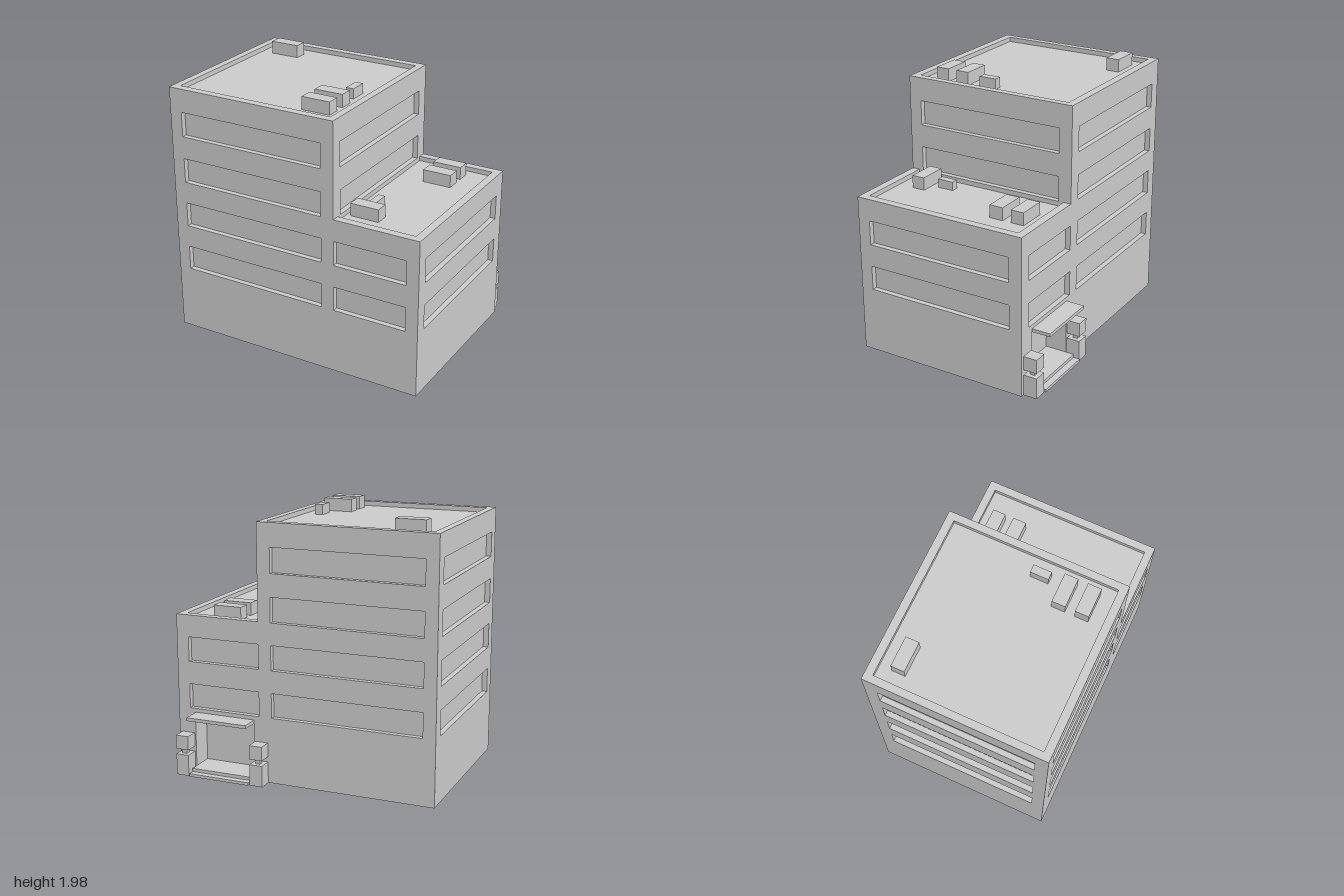
import * as THREE from 'three';

const material = new THREE.MeshStandardMaterial({ color: 0xcccccc, side: THREE.DoubleSide, flatShading: true });

// Main dimensions
const FRONT = 0.745, BACK = -0.605, SPLIT = 0.34, TOWER = 1.915, WING = 1.2;
const BAND = 0.04, PARAPET = 0.035;
const floors = [[0.495, 0.68], [0.85, 1.035], [1.2, 1.385], [1.555, 1.74]];

const rect = (u0, u1, v0, v1) => [[u0, v0], [u1, v0], [u1, v1], [u0, v1]];
const toPoints = (list) => list.map(([u, v]) => new THREE.Vector2(u, v));

function addMesh(parent, name, geometry) {
  const mesh = new THREE.Mesh(geometry, material);
  mesh.name = name;
  parent.add(mesh);
  return mesh;
}

// Solid block given by its extents
function block(parent, name, x0, x1, y0, y1, z0, z1) {
  const mesh = addMesh(parent, name, new THREE.BoxGeometry(x1 - x0, y1 - y0, z1 - z0));
  mesh.position.set((x0 + x1) / 2, (y0 + y1) / 2, (z0 + z1) / 2);
  return mesh;
}

// Five-sided lining sunk behind a panel, open towards local +z
function recess(parent, name, [u0, u1, v0, v1, depth]) {
  const geometry = new THREE.BoxGeometry(u1 - u0, v1 - v0, depth);
  const index = Array.from(geometry.index.array);
  index.splice(24, 6);
  for (let i = 0; i < index.length; i += 3) [index[i], index[i + 1]] = [index[i + 1], index[i]];
  geometry.setIndex(index);
  geometry.clearGroups();
  const n = geometry.attributes.normal;
  for (let i = 0; i < n.count; i++) n.setXYZ(i, -n.getX(i), -n.getY(i), -n.getZ(i));
  addMesh(parent, name, geometry).position.set((u0 + u1) / 2, (v0 + v1) / 2, -depth / 2);
}

// Flat panel facing local +z, with sunken openings
function panel(parent, name, outline, openings, recessName) {
  const group = new THREE.Group();
  group.name = name;
  const shape = new THREE.Shape(toPoints(outline));
  for (const [u0, u1, v0, v1] of openings) {
    shape.holes.push(new THREE.Path(toPoints(rect(u0, u1, v0, v1).reverse())));
  }
  addMesh(group, name + 'Surface', new THREE.ShapeGeometry(shape));
  openings.forEach((o) => recess(group, recessName, o));
  parent.add(group);
  return group;
}

export function createModel() {
  const model = new THREE.Group();
  model.name = 'officeBuilding';

  // Front and back walls: stepped outline with window bands
  const stepped = [[-1, 0], [1, 0], [1, WING], [SPLIT, WING], [SPLIT, TOWER], [-1, TOWER]];
  const bands = [
    ...floors.map(([a, b]) => [-0.905, 0.24, a, b, BAND]),
    ...floors.slice(0, 2).map(([a, b]) => [SPLIT, 0.905, a, b, BAND]),
  ];
  panel(model, 'frontWall', stepped, bands, 'windowBand').position.z = FRONT;

  const doorway = [0.38, 0.865, 0.045, 0.44, 0.165];
  const mirror = ([u0, u1, ...rest]) => [-u1, -u0, ...rest];
  const backWall = panel(model, 'backWall', stepped.map(([u, v]) => [-u, v]).reverse(),
    [...bands.map(mirror), mirror(doorway)], 'backRecess');
  backWall.rotation.y = Math.PI;
  backWall.position.z = BACK;

  // Side walls; the tower wall continues down inside as a partition
  const sideBands = (list) => list.map(([a, b]) => [-0.65, 0.505, a, b, BAND]);
  const wingSide = panel(model, 'wingSideWall', rect(-FRONT, -BACK, 0, WING),
    sideBands(floors.slice(0, 2)), 'windowBand');
  wingSide.rotation.y = Math.PI / 2;
  wingSide.position.x = 1;

  const towerInner = panel(model, 'towerInnerWall', rect(-FRONT, -BACK, 0, TOWER),
    sideBands(floors.slice(2)), 'windowBand');
  towerInner.rotation.y = Math.PI / 2;
  towerInner.position.x = SPLIT;

  const towerSide = panel(model, 'towerSideWall', rect(BACK, FRONT, 0, TOWER),
    sideBands(floors).map(mirror), 'windowBand');
  towerSide.rotation.y = -Math.PI / 2;
  towerSide.position.x = -1;

  // Roofs with sunken floors
  const towerRoof = panel(model, 'towerRoof', rect(-1, SPLIT, -FRONT, -BACK),
    [[-0.945, 0.285, -0.685, 0.545, PARAPET]], 'towerRoofFloor');
  towerRoof.rotation.x = -Math.PI / 2;
  towerRoof.position.y = TOWER;

  const wingRim = [[SPLIT, -FRONT], [1, -FRONT], [1, -BACK], [SPLIT, -BACK],
    [SPLIT, 0.545], [0.94, 0.545], [0.94, -0.685], [SPLIT, -0.685]];
  const wingRoof = panel(model, 'wingRoof', wingRim, [], '');
  recess(wingRoof, 'wingRoofFloor', [SPLIT, 0.94, -0.685, 0.545, PARAPET]);
  wingRoof.rotation.x = -Math.PI / 2;
  wingRoof.position.y = WING;

  // Rooftop units: x0, x1, z0, z1, height above the rim
  const units = (base, list) => list.forEach(([x0, x1, z0, z1, h]) =>
    block(model, 'rooftopUnit', x0, x1, base - PARAPET, base + h, z0, z1));
  units(TOWER, [
    [-0.855, -0.63, -0.455, -0.355, 0.06],
    [0, 0.22, 0.315, 0.415, 0.06],
    [0, 0.22, 0.485, 0.585, 0.06],
    [0.14, 0.2, 0.095, 0.23, 0.04],
  ]);
  units(WING, [
    [0.54, 0.76, -0.475, -0.375, 0.06],
    [0.54, 0.76, -0.31, -0.205, 0.06],
    [0.37, 0.59, 0.465, 0.565, 0.06],
    [0.435, 0.49, 0.285, 0.41, 0.03],
  ]);

  // Rear entrance: canopy, steps and stacked posts
  block(model, 'entranceCanopy', 0.38, 0.86, 0.44, 0.465, -0.747, BACK);
  block(model, 'lowerStep', 0.38, 0.865, 0, 0.022, -0.72, -0.44);
  block(model, 'upperStep', 0.38, 0.865, 0.022, 0.047, -0.67, -0.44);
  for (const x of [0.322, 0.925]) {
    const post = new THREE.Group();
    post.name = 'entrancePost';
    block(post, 'postBase', x - 0.05, x + 0.05, 0, 0.16, -0.71, -0.607);
    block(post, 'postNeck', x - 0.018, x + 0.018, 0.16, 0.2, -0.676, -0.64);
    block(post, 'postTop', x - 0.05, x + 0.05, 0.2, 0.305, -0.71, -0.607);
    model.add(post);
  }
  return model;
}
